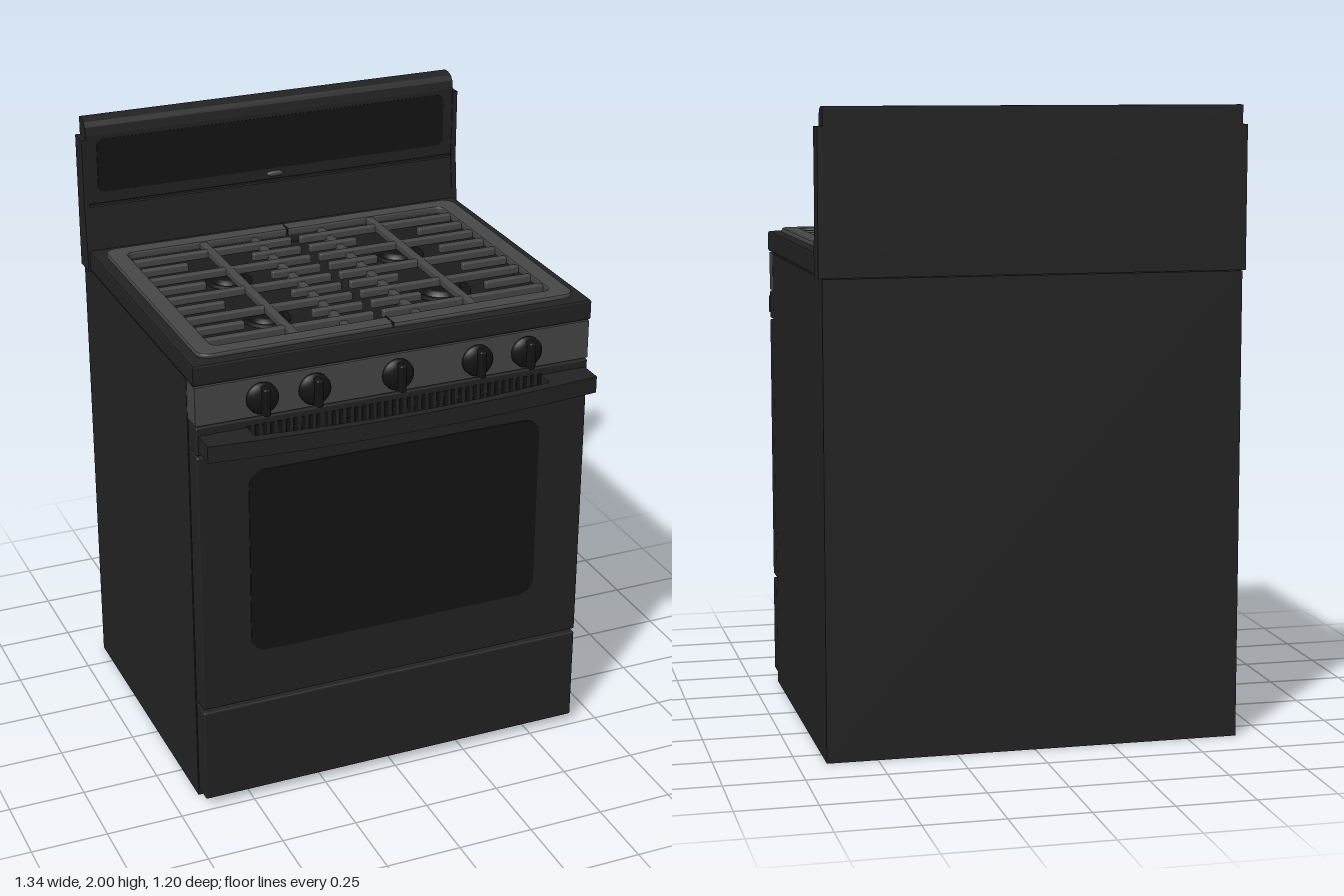
import * as THREE from 'three';
import { RoundedBoxGeometry } from 'three/addons/geometries/RoundedBoxGeometry.js';

const mat = (color) => new THREE.MeshStandardMaterial({ color });
const BLACK = mat(0x222222), DARK = mat(0x131313), PANEL = mat(0x444444), IRON = mat(0x464646), WELL = mat(0x1c1c1c);

export function createModel() {
  const root = new THREE.Group();

  const add = (name, geo, material, x = 0, y = 0, z = 0, parent = root) => {
    const m = new THREE.Mesh(geo, material);
    m.name = name;
    m.position.set(x, y, z);
    parent.add(m);
    return m;
  };
  // Box given by its limits on each axis
  const block = (name, [x0, x1], [y0, y1], [z0, z1], material = BLACK, r = 0, parent = root) => {
    const s = [x1 - x0, y1 - y0, z1 - z0];
    const geo = r ? new RoundedBoxGeometry(...s, 2, r) : new THREE.BoxGeometry(...s);
    return add(name, geo, material, (x0 + x1) / 2, (y0 + y1) / 2, (z0 + z1) / 2, parent);
  };
  // Rounded rectangle outline centred on (0, cy)
  const roundRect = (hw, hh, r, cy = 0, S = THREE.Shape) => {
    const s = new S();
    s.moveTo(hw - r, cy - hh);
    s.absarc(hw - r, cy - hh + r, r, -Math.PI / 2, 0);
    s.absarc(hw - r, cy + hh - r, r, 0, Math.PI / 2);
    s.absarc(-hw + r, cy + hh - r, r, Math.PI / 2, Math.PI);
    s.absarc(-hw + r, cy - hh + r, r, Math.PI, Math.PI * 1.5);
    s.closePath();
    return s;
  };
  const extrude = (shape, depth, bevel = 0) => new THREE.ExtrudeGeometry(shape, {
    depth: depth - 2 * bevel, bevelEnabled: bevel > 0, bevelSize: bevel, bevelThickness: bevel,
    bevelOffset: -bevel, bevelSegments: 2, curveSegments: 8,
  }).translate(0, 0, bevel);
  // Plan shapes are drawn in (x, -z) and extruded upwards
  const plan = (shape, depth, bevel) => extrude(shape, depth, bevel).rotateX(-Math.PI / 2);
  // Side profiles are lists of [z, y], extruded along x
  const profile = (pts, width) => extrude(new THREE.Shape(pts.map(([z, y]) => new THREE.Vector2(-z, y))), width)
    .rotateY(Math.PI / 2).translate(-width / 2, 0, 0);

  // Cabinet, oven door, drawer and control panel
  block('cabinet', [-0.66, 0.66], [0, 1.488], [-0.6, 0.408]);
  block('drawer', [-0.66, 0.66], [0.03, 0.355], [0.411, 0.485], BLACK, 0.006);
  block('ovenDoor', [-0.66, 0.66], [0.367, 1.258], [0.411, 0.485], BLACK, 0.006);
  block('doorTopRail', [-0.66, 0.66], [1.263, 1.356], [0.411, 0.483], BLACK, 0.005);
  block('controlPanel', [-0.66, 0.66], [1.361, 1.488], [0.411, 0.481], PANEL);
  add('ovenWindow', extrude(roundRect(0.495, 0.318, 0.055), 0.004, 0.001), DARK, 0, 0.863, 0.484);

  // Vent slots behind the handle
  const vent = new THREE.Group();
  vent.name = 'vent';
  root.add(vent);
  for (let i = 0; i < 40; i++) {
    const x = -0.49 + (i * 0.98) / 39;
    block('ventSlot', [x - 0.006, x + 0.006], [1.285, 1.335], [0.48, 0.486], DARK, 0, vent);
  }

  // Bowed door handle with a hand opening
  const bow = new THREE.Shape();
  bow.moveTo(-0.652, -0.48);
  bow.lineTo(-0.652, -0.563);
  bow.quadraticCurveTo(0, -0.637, 0.652, -0.563);
  bow.lineTo(0.652, -0.48);
  bow.closePath();
  const opening = new THREE.Path();
  opening.moveTo(-0.495, -0.4805);
  opening.lineTo(0.495, -0.4805);
  opening.lineTo(0.495, -0.543);
  opening.quadraticCurveTo(0, -0.605, -0.495, -0.543);
  opening.closePath();
  bow.holes.push(opening);
  add('doorHandle', plan(bow, 0.055), BLACK, 0, 1.275, 0);

  // Control knobs: turned skirt with a finger grip
  const knobGeo = new THREE.LatheGeometry([[0, 0], [0.04, 0], [0.051, 0.01], [0.051, 0.022], [0.036, 0.036], [0, 0.038]]
    .map((p) => new THREE.Vector2(...p)), 28).rotateX(Math.PI / 2);
  for (const x of [-0.45, -0.28, -0.005, 0.265, 0.435]) {
    const knob = new THREE.Group();
    knob.name = 'knob';
    knob.position.set(x, 1.425, 0.48);
    root.add(knob);
    add('knobSkirt', knobGeo, DARK, 0, 0, 0, knob);
    block('knobGrip', [-0.011, 0.011], [-0.045, 0.045], [0.02, 0.06], DARK, 0.006, knob);
  }

  // Cooktop: rim around a sunken well
  const rim = new THREE.Shape();
  [[-0.664, 0.53], [-0.664, -0.482], [0.664, -0.482], [0.664, 0.53]].forEach(([x, y], i) => (i ? rim.lineTo(x, y) : rim.moveTo(x, y)));
  rim.closePath();
  rim.holes.push(roundRect(0.575, 0.415, 0.03, 0.02, THREE.Path));
  add('cooktopRim', plan(rim, 0.07, 0.008), BLACK, 0, 1.49, 0);
  block('cooktopWell', [-0.6, 0.6], [1.49, 1.522], [-0.45, 0.41], WELL);

  // Burners: [x, z, radius]
  for (const [x, z, r] of [[-0.3, -0.19, 0.076], [0.3, -0.19, 0.086], [-0.3, 0.15, 0.076], [0.3, 0.15, 0.096]]) {
    const pts = [[1, 0], [1, 0.006], [0.82, 0.009], [0.76, 0.004], [0.68, 0.004], [0.66, 0.018], [0.6, 0.022], [0, 0.022]];
    add('burner', new THREE.LatheGeometry(pts.map(([a, h]) => new THREE.Vector2(a * r, h)), 32), DARK, x, 1.521, z);
  }

  // Cast grates: border, long bars, short fingers
  const grates = new THREE.Group();
  grates.name = 'grates';
  root.add(grates);
  const border = roundRect(0.628, 0.464, 0.04, 0.02);
  border.holes.push(roundRect(0.568, 0.408, 0.025, 0.02, THREE.Path));
  add('grateBorder', plan(border, 0.03, 0.008), IRON, 0, 1.545, 0, grates);
  for (const [a, b] of [[-0.486, -0.426], [0.386, 0.446]])
    block('grateSeam', [-0.003, 0.003], [1.55, 1.576], [a, b], DARK, 0, grates);
  for (const s of [-1, 1]) {
    const bar = (a, b, z) => block('grateBar', [Math.min(s * a, s * b), Math.max(s * a, s * b)],
      [1.544, 1.57], [z - 0.012, z + 0.012], IRON, 0.005, grates);
    for (let i = 0; i < 9; i++) {
      const z = -0.361 + i * 0.0858;
      if (i % 2 === 0) bar(0.015, 0.57, z);
      else {
        bar(0.015, 0.185, z);
        bar(0.41, 0.57, z);
      }
    }
    block('grateSpine', [s * 0.3 - 0.013, s * 0.3 + 0.013], [1.546, 1.572], [-0.43, 0.39], IRON, 0.005, grates);
    block('grateCrossbar', [s * 0.12 - 0.013, s * 0.12 + 0.013], [1.535, 1.56], [-0.43, 0.39], IRON, 0.005, grates);
  }

  // Backguard: profiled panel, end caps, display glass and trim
  add('backguard', profile([[-0.6, 1.49], [-0.522, 1.49], [-0.522, 1.56], [-0.538, 1.705], [-0.543, 1.708], [-0.543, 1.714],
    [-0.538, 1.717], [-0.535, 1.95], [-0.54, 1.978], [-0.553, 1.993], [-0.575, 2], [-0.6, 2]], 1.31), BLACK);
  const cap = profile([[-0.6, 1.49], [-0.52, 1.49], [-0.52, 1.56], [-0.535, 1.72], [-0.532, 1.94], [-0.6, 1.94]], 0.018);
  for (const s of [-1, 1]) add('backguardEndCap', cap, BLACK, s * 0.662, 0, 0);
  add('displayGlass', extrude(roundRect(0.62, 0.09, 0.025), 0.006, 0.001), DARK, 0, 1.845, -0.5395);
  add('ovalTrim', new THREE.SphereGeometry(1, 20, 10).scale(0.03, 0.01, 0.008), IRON, 0, 1.735, -0.537);

  return root;
}
